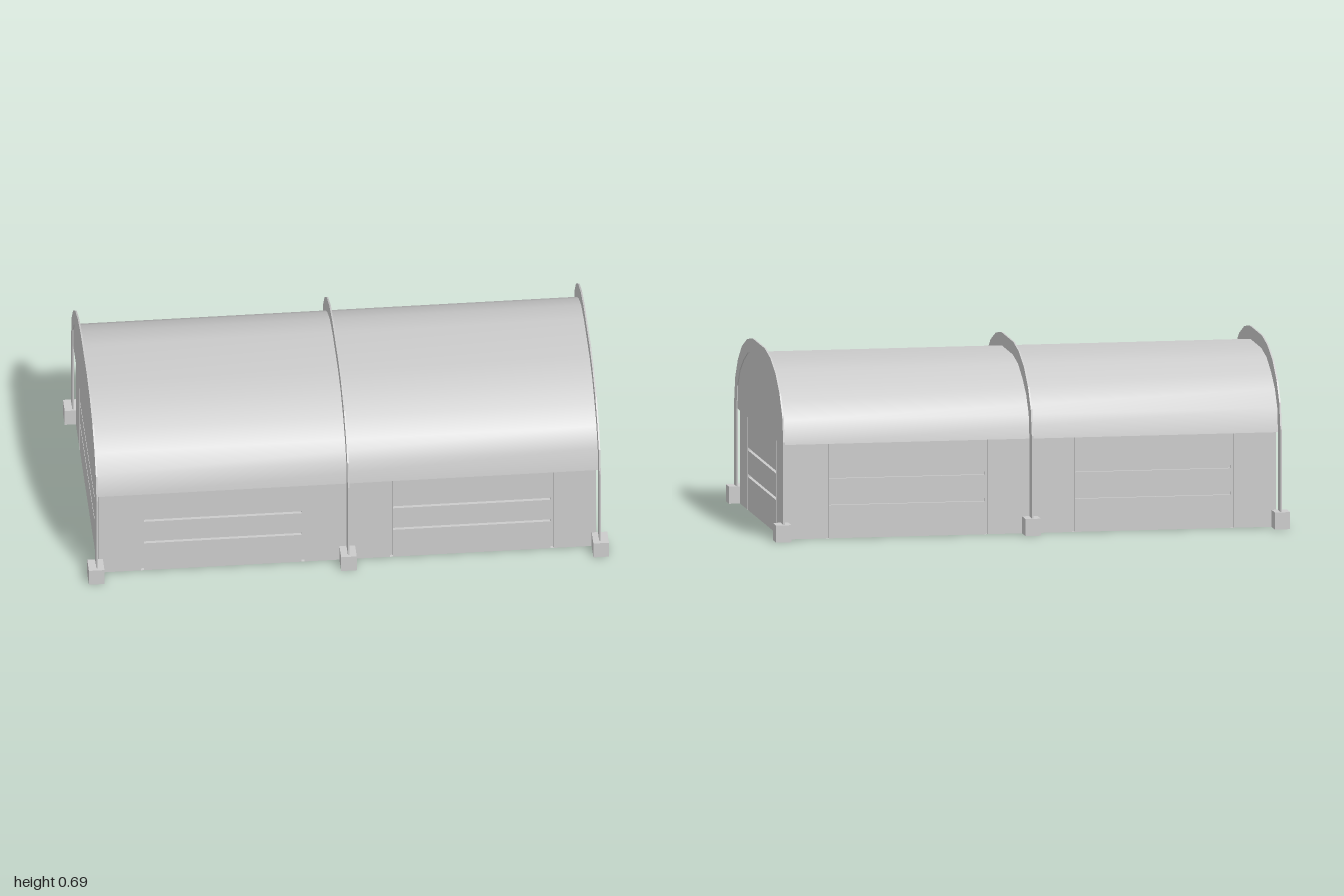
import * as THREE from 'three';

const mat = new THREE.MeshStandardMaterial({ color: 0xcccccc, side: THREE.DoubleSide });

// half profiles [z, y] of the hoop's outer edge and of the roof
const OUTER = [[0.537, 0.385], [0.513, 0.485], [0.454, 0.562], [0.366, 0.627], [0.25, 0.671], [0.133, 0.69]];
const INNER = [[0.484, 0.367], [0.469, 0.459], [0.416, 0.526], [0.336, 0.577], [0.236, 0.621], [0.121, 0.64]];
const mirror = half => [...half, ...half.map(([z, y]) => [-z, y]).reverse()];

const ROOF_X = 0.966, EAVE = 0.367;
const WALL_X = 0.957, WALL_Z = 0.476;
const GROOVE = 0.012, DEPTH = 0.013;

function add(parent, name, geometry, x = 0, y = 0, z = 0) {
  const mesh = new THREE.Mesh(geometry, mat);
  mesh.name = name;
  mesh.position.set(x, y, z);
  parent.add(mesh);
  return mesh;
}

const shapeOf = pts => new THREE.Shape(pts.map(([a, b]) => new THREE.Vector2(a, b)));

// box with one side left open (2 top, 3 bottom, 4 front)
function openBox(w, h, d, side) {
  const g = new THREE.BoxGeometry(w, h, d);
  const index = Array.from(g.index.array);
  index.splice(side * 6, 6);
  g.setIndex(index);
  g.clearGroups();
  return g;
}

// smooth shell swept along x
function roofGeometry() {
  const pts = mirror(INNER), pos = [], index = [];
  pts.forEach(([z, y]) => pos.push(-ROOF_X, y, z, ROOF_X, y, z));
  for (let i = 0; i < pts.length - 1; i++) {
    const a = i * 2;
    index.push(a, a + 1, a + 3, a, a + 3, a + 2);
  }
  const g = new THREE.BufferGeometry();
  g.setAttribute('position', new THREE.Float32BufferAttribute(pos, 3));
  g.setIndex(index);
  g.computeVertexNormals();
  return g;
}

// thin arched plate with straight legs
function hoopGeometry(thickness) {
  const pts = [[0.537, 0], ...mirror(OUTER), [-0.537, 0], [-0.484, 0], ...mirror(INNER).reverse(), [0.484, 0]];
  const g = new THREE.ExtrudeGeometry(shapeOf(pts), { depth: thickness, bevelEnabled: false });
  return g.translate(0, 0, -thickness / 2).rotateY(-Math.PI / 2);
}

// sheet wall facing +z: upright grooves at the given x, door columns also grooved across
function wall(name, halfWidth, uprights, doorColumns) {
  const group = new THREE.Group();
  group.name = name;
  const half = GROOVE / 2;
  const rails = [0.134, 0.237];
  const sheet = (x0, x1, y0, y1) =>
    add(group, 'panel', new THREE.PlaneGeometry(x1 - x0, y1 - y0), (x0 + x1) / 2, (y0 + y1) / 2, 0);

  uprights.forEach(x => add(group, 'uprightGroove', openBox(GROOVE, EAVE, DEPTH, 4), x, EAVE / 2, -DEPTH / 2));

  const edges = [-halfWidth - half, ...uprights, halfWidth + half];
  for (let i = 0; i < edges.length - 1; i++) {
    const x0 = edges[i] + half, x1 = edges[i + 1] - half;
    if (!doorColumns.includes(i)) {
      sheet(x0, x1, 0, EAVE);
      continue;
    }
    const levels = [-half, ...rails, EAVE + half];
    for (let j = 0; j < levels.length - 1; j++) sheet(x0, x1, levels[j] + half, levels[j + 1] - half);
    rails.forEach(y => add(group, 'crossGroove', openBox(x1 - x0, GROOVE, DEPTH, 4), (x0 + x1) / 2, y, -DEPTH / 2));
  }
  return group;
}

export function createModel() {
  const model = new THREE.Group();
  model.name = 'archedShelter';

  // roof with its end gables
  add(model, 'roof', roofGeometry());
  for (const s of [-1, 1]) {
    const gable = new THREE.ShapeGeometry(shapeOf(mirror(INNER))).rotateY(-Math.PI / 2);
    add(model, s > 0 ? 'leftGable' : 'rightGable', gable, s * ROOF_X);
  }

  // narrow ledge joining the eaves to the walls
  const rect = (x, z) => [[-x, -z], [x, -z], [x, z], [-x, z]];
  const ledge = shapeOf(rect(ROOF_X, 0.484));
  ledge.holes.push(shapeOf(rect(WALL_X, WALL_Z)));
  add(model, 'eaveLedge', new THREE.ShapeGeometry(ledge).rotateX(-Math.PI / 2), 0, EAVE);

  // four walls
  for (const s of [1, -1]) {
    const long = wall(s > 0 ? 'frontWall' : 'backWall', WALL_X, [-0.787, -0.17, 0.17, 0.787], [1, 3]);
    long.position.z = s * WALL_Z;
    long.rotation.y = s > 0 ? 0 : Math.PI;
    const end = wall(s > 0 ? 'leftWall' : 'rightWall', WALL_Z, [-0.308, 0.308], [1]);
    end.position.x = s * WALL_X;
    end.rotation.y = s * Math.PI / 2;
    model.add(long, end);
  }

  // hoops and their feet
  for (const x of [-0.967, 0, 0.967]) {
    add(model, 'hoop', hoopGeometry(0.006), x);
    for (const s of [-1, 1]) {
      add(model, 'foot', openBox(0.06, 0.066, 0.072, 3), Math.sign(x) * 0.97, 0.033, s * 0.514);
    }
  }
  return model;
}
